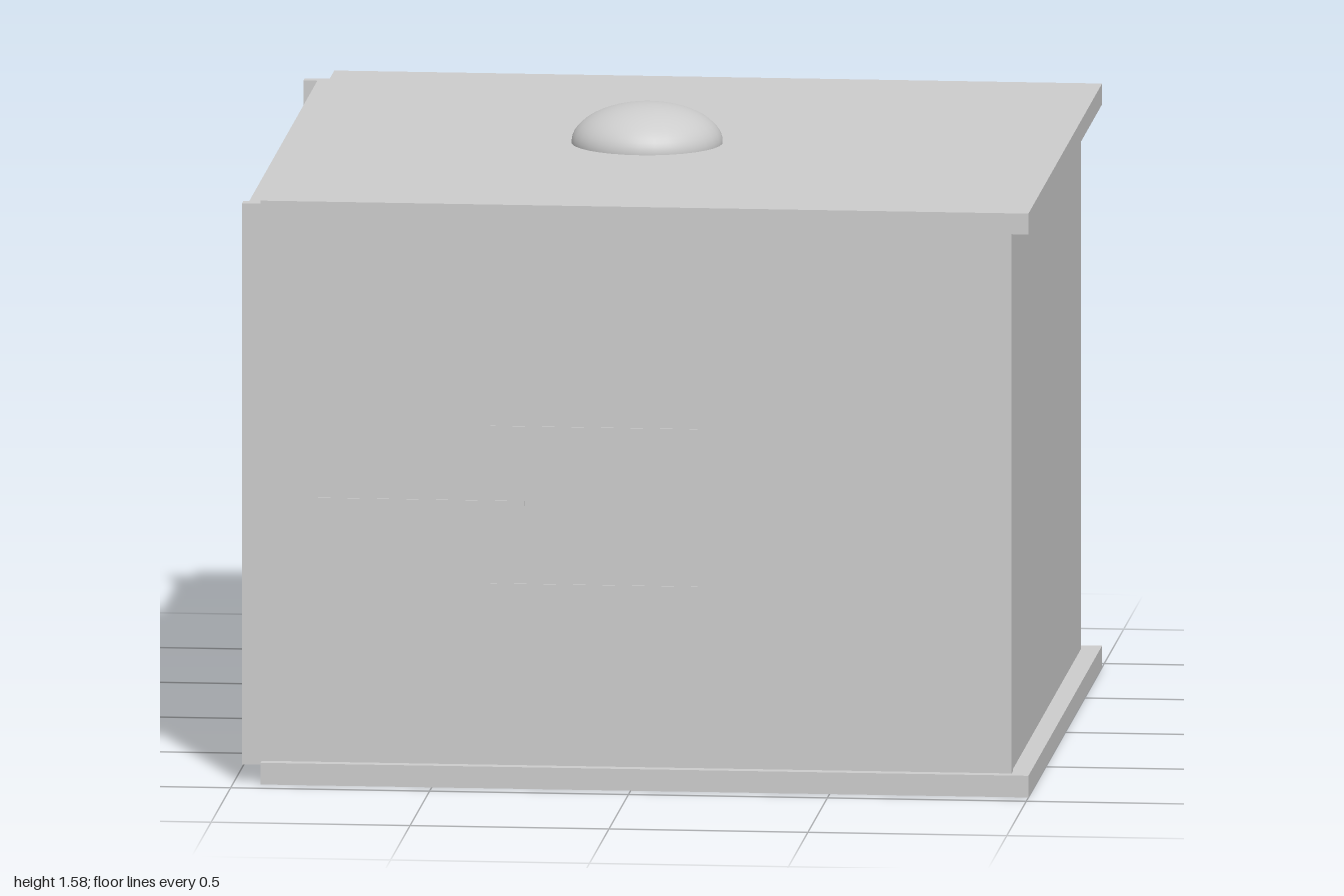
import * as THREE from 'three';

export function createModel() {
  const model = new THREE.Group();
  const material = new THREE.MeshStandardMaterial({ color: 0xcccccc });

  // Box given by its extents along each axis
  function panel(name, [x0, x1], [y0, y1], [z0, z1]) {
    const mesh = new THREE.Mesh(new THREE.BoxGeometry(x1 - x0, y1 - y0, z1 - z0), material);
    mesh.position.set((x0 + x1) / 2, (y0 + y1) / 2, (z0 + z1) / 2);
    mesh.name = name;
    model.add(mesh);
  }

  // Base and lid overhang the walls on three sides
  const plateX = [-0.93, 1], plateZ = [-0.945, 0.945];
  panel('base', plateX, [0, 0.055], plateZ);
  panel('lid', plateX, [1.43, 1.483], plateZ);

  // Walls, let into the base and lid
  const wallY = [0.045, 1.47];
  panel('frontWall', [-0.98, 0.955], wallY, [0.88, 0.915]);
  panel('backWall', [-1, 0.92], wallY, [-0.9, -0.867]);
  panel('rightWall', [-0.965, -0.935], wallY, [-0.867, 0.88]);
  panel('leftWall', [0.92, 0.952], wallY, [-0.9, 0.87]);

  // Thin staggered strips through the front wall
  for (const [x, y] of [[-0.355, 0.91], [-0.79, 0.72], [-0.355, 0.51]]) {
    panel('frontStrip', [x, x + 0.52], [y - 0.006, y + 0.006], [0.873, 0.918]);
  }

  // Flattened dome knob
  const knob = new THREE.Mesh(new THREE.SphereGeometry(0.19, 32, 16, 0, Math.PI * 2, 0, Math.PI / 2), material);
  knob.scale.y = 0.1 / 0.19;
  knob.position.set(-0.05, 1.483, 0.01);
  knob.name = 'knob';
  model.add(knob);

  return model;
}
